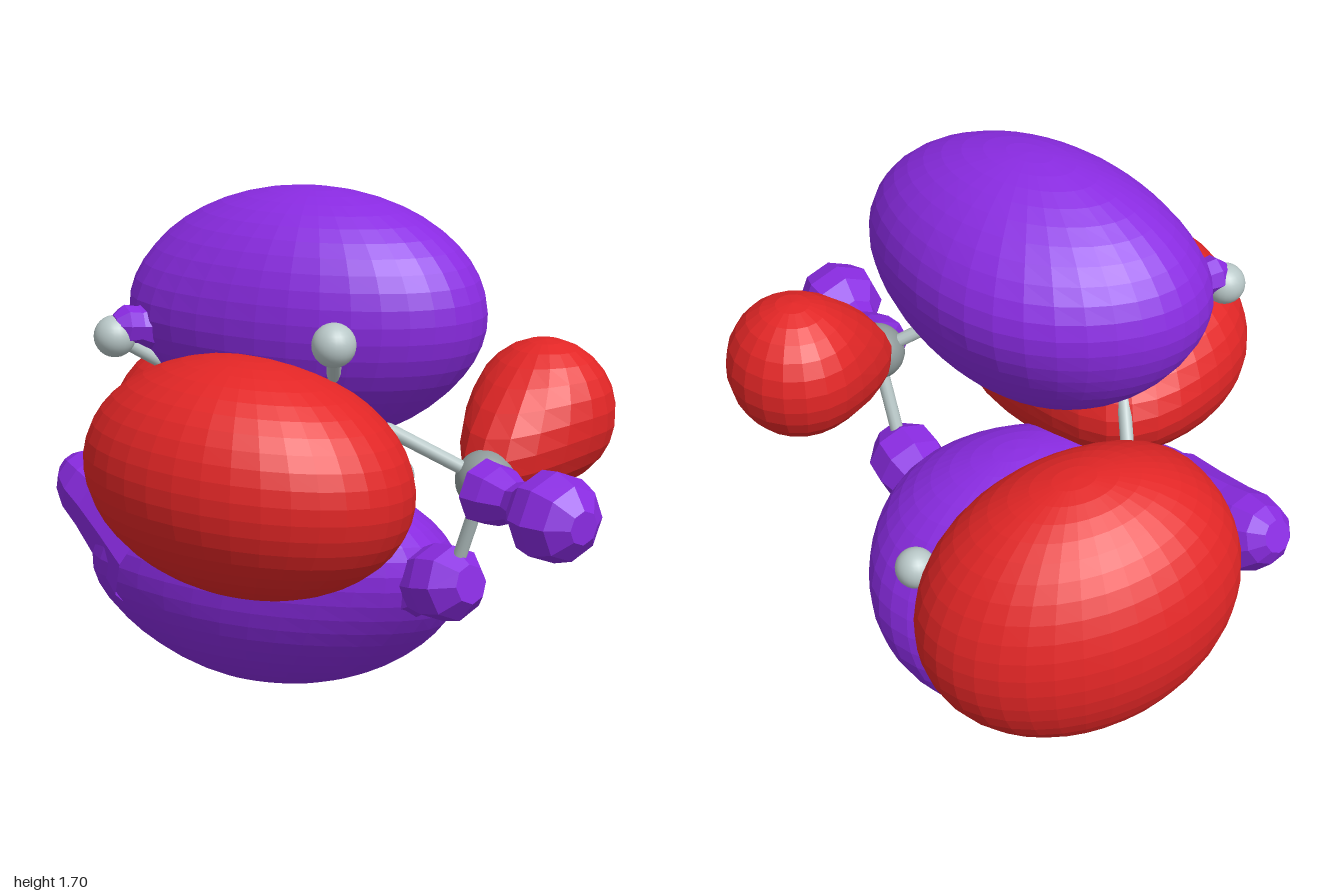
import * as THREE from 'three';

const V = (a) => new THREE.Vector3(...a);
const mat = (color, flatShading = false) =>
  new THREE.MeshStandardMaterial({ color, flatShading, side: THREE.DoubleSide });
const purple = mat(0x8a2be2, true);
const red = mat(0xe32626, true);
const carbonMat = mat(0x8f9a9a);
const hydrogenMat = mat(0xb9c8c8);

function add(parent, name, geometry, material) {
  const mesh = new THREE.Mesh(geometry, material);
  mesh.name = name;
  parent.add(mesh);
  return mesh;
}

// Slanted ellipsoid: half extents plus xy, xz, yz slants, drawn out towards tips [point, sharpness]
function lobeGeometry({ c, ext, slant = [0, 0, 0], tips, seg = 36 }) {
  const [a, b, d] = ext, [xy, xz, yz] = slant;
  const l21 = xy / a, l31 = xz / a;
  const l22 = Math.sqrt(b * b - l21 * l21), l32 = (yz - l21 * l31) / l22;
  const l33 = Math.sqrt(d * d - l31 * l31 - l32 * l32);
  const L = new THREE.Matrix3().set(a, 0, 0, l21, l22, 0, l31, l32, l33);
  const centre = V(c);
  const pulls = tips.map(([point, k]) => {
    const dir = V(point).sub(centre).applyMatrix3(L.clone().invert()).normalize();
    const offset = V(point).sub(centre).sub(dir.clone().applyMatrix3(L));
    return { dir, offset, k };
  });
  const geometry = new THREE.SphereGeometry(1, seg, Math.round(seg * 0.65));
  const pos = geometry.attributes.position;
  const u = new THREE.Vector3();
  for (let i = 0; i < pos.count; i++) {
    u.fromBufferAttribute(pos, i);
    const p = u.clone().applyMatrix3(L).add(centre);
    for (const { dir, offset, k } of pulls)
      p.addScaledVector(offset, Math.pow(Math.max(0, u.dot(dir)), k));
    pos.setXYZ(i, p.x, p.y, p.z);
  }
  geometry.computeVertexNormals();
  return geometry;
}

// Turned shape between two points; profile holds [radius, distance fraction]
function turned(parent, name, from, to, profile, material, sides = 10) {
  const axis = V(to).sub(V(from));
  const len = axis.length();
  const points = profile.map(([r, t]) => new THREE.Vector2(r, t * len));
  const mesh = add(parent, name, new THREE.LatheGeometry(points, sides), material);
  mesh.position.copy(V(from));
  mesh.quaternion.setFromUnitVectors(new THREE.Vector3(0, 1, 0), axis.normalize());
}

export function createModel() {
  const model = new THREE.Group();
  model.name = 'molecularOrbital';

  // Large and medium orbital lobes
  const lobes = new THREE.Group();
  lobes.name = 'orbitalLobes';
  model.add(lobes);
  add(lobes, 'upperPurpleLobe', lobeGeometry({
    c: [-0.065, 1.34, 0.09], ext: [0.395, 0.36, 0.525], slant: [0, 0.075, 0.01],
    tips: [[[0, 0.93, -0.01], 3], [[-0.48, 1.3, -0.2], 7], [[0.24, 1.37, -0.2], 4]] }), purple);
  add(lobes, 'lowerPurpleLobe', lobeGeometry({
    c: [0.065, 0.385, -0.16], ext: [0.505, 0.385, 0.41], slant: [-0.04, 0.045, 0.045],
    tips: [[[-0.5, 0.57, -0.44], 3], [[0.22, 0.48, 0.31], 5]] }), purple);
  add(lobes, 'frontRedLobe', lobeGeometry({
    c: [-0.39, 0.915, 0.25], ext: [0.41, 0.355, 0.49], slant: [-0.015, 0.038, 0],
    tips: [[[-0.17, 0.87, -0.24], 6]] }), red);
  add(lobes, 'backRedLobe', lobeGeometry({
    c: [0.21, 0.73, -0.65], ext: [0.475, 0.4, 0.35], slant: [-0.03, 0.02, 0.01],
    tips: [[[-0.2, 0.83, -0.36], 5]] }), red);
  add(lobes, 'sideRedLobe', lobeGeometry({
    c: [0.58, 0.995, 0.415], ext: [0.215, 0.225, 0.225],
    tips: [[[0.24, 0.86, 0.52], 2.5]], seg: 20 }), red);

  // Small knobs around hydrogens, each with a neck
  const knobs = new THREE.Group();
  knobs.name = 'orbitalKnobs';
  model.add(knobs);
  turned(knobs, 'frontKnob', [0.23, 0.84, 0.54], [0.23, 0.84, 0.99],
    [[0, 0], [0.1, 0.06], [0.09, 0.2], [0.06, 0.36], [0.075, 0.46], [0.125, 0.6],
      [0.135, 0.74], [0.11, 0.9], [0.05, 1], [0, 1]], purple, 8);
  turned(knobs, 'lowerFrontKnob', [0.22, 0.45, 0.14], [0.24, 0.53, 0.5],
    [[0.16, 0], [0.12, 0.25], [0.1, 0.4], [0.12, 0.6], [0.115, 0.82],
      [0.06, 1], [0, 1]], purple, 8);
  turned(knobs, 'backKnob', [-0.34, 0.52, -0.28], [-0.43, 0.72, -0.72],
    [[0.21, 0], [0.17, 0.3], [0.135, 0.6], [0.12, 0.78], [0.09, 0.92], [0.05, 1], [0, 1]], purple);
  turned(knobs, 'upperSideKnob', [-0.35, 1.28, -0.16], [-0.57, 1.3, -0.18],
    [[0.12, 0], [0.08, 0.4], [0.055, 0.65], [0.06, 0.85], [0.03, 1], [0, 1]], purple, 8);

  // Five-carbon chain with its hydrogens
  const skeleton = new THREE.Group();
  skeleton.name = 'ballAndStickSkeleton';
  model.add(skeleton);
  const carbons = [[0.26, 0.86, 0.53], [-0.13, 1.11, 0.31], [-0.24, 1.06, -0.13],
    [-0.12, 0.71, -0.41], [0.21, 0.56, -0.43]];
  const hydrogens = [
    [0, [0.23, 0.84, 0.87]], [0, [0.24, 0.5, 0.4]], [0, [0.58, 1.0, 0.42]],
    [1, [-0.29, 1.34, 0.53]], [2, [-0.56, 1.265, -0.19]], [3, [-0.42, 0.7, -0.6]],
    [4, [0.52, 0.64, -0.235]], [4, [0.29, 0.255, -0.605]]];
  const bond = (a, b) =>
    turned(skeleton, 'bond', a, b, [[0.021, 0], [0.021, 1]], hydrogenMat, 12);
  carbons.forEach((p, i) => {
    add(skeleton, 'carbonAtom', new THREE.SphereGeometry(0.09, 24, 16), carbonMat).position.copy(V(p));
    if (i) bond(carbons[i - 1], p);
  });
  for (const [i, p] of hydrogens) {
    add(skeleton, 'hydrogenAtom', new THREE.SphereGeometry(0.062, 24, 16), hydrogenMat).position.copy(V(p));
    bond(carbons[i], p);
  }
  return model;
}
